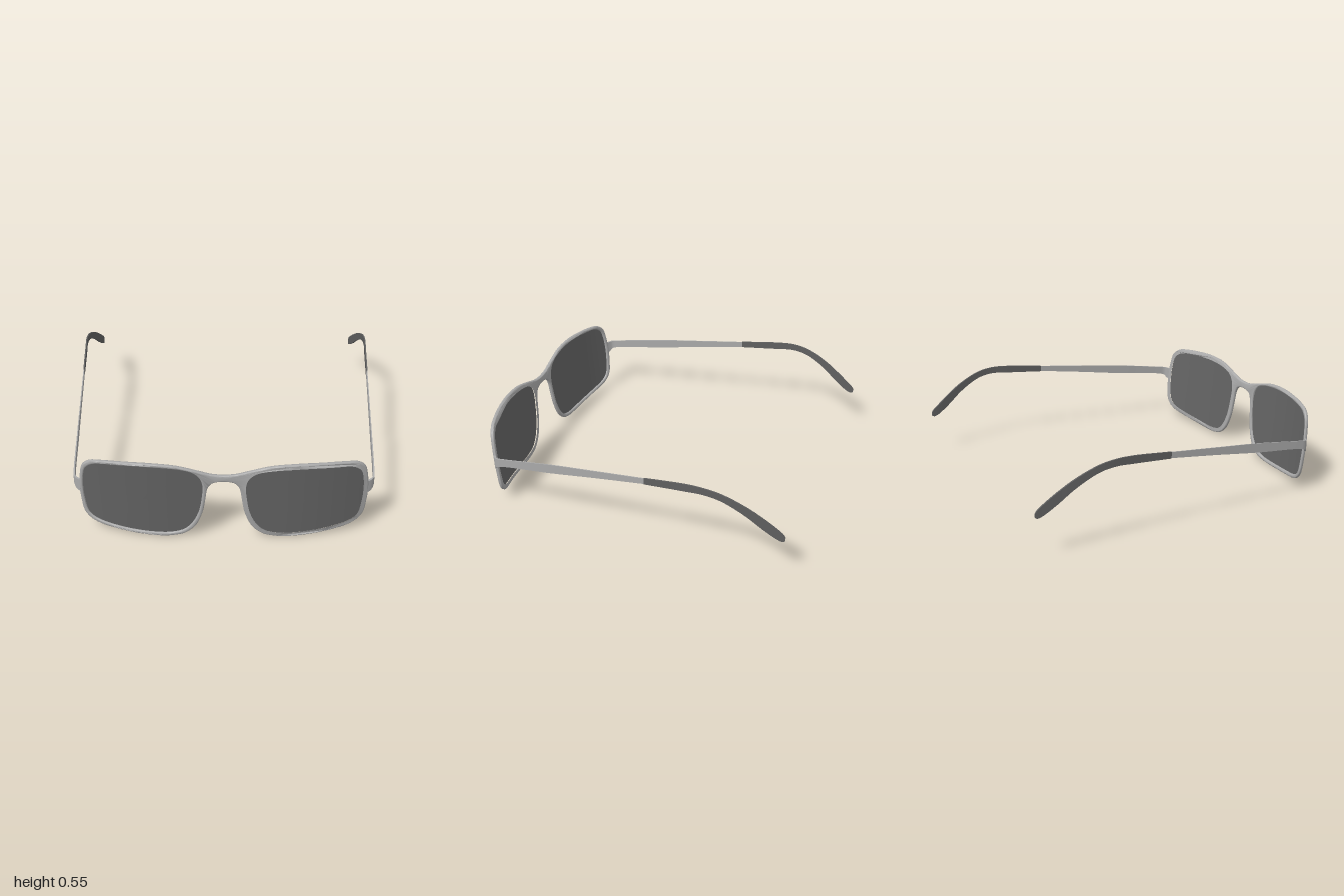
import * as THREE from 'three';
import { toCreasedNormals } from 'three/addons/utils/BufferGeometryUtils.js';

// Wrapped, slightly tilted surface on which the frame front and lenses lie
const frontZ = (x, y) =>
  1.0 - 0.35 * Math.max(0, Math.abs(x) - 0.3) ** 2 - 0.08 * (0.55 - y);

// Half of the frame outline, from bridge top round to bridge underside
const HALF_OUTLINE = [
  [0.07, 0.484], [0.15, 0.508], [0.28, 0.544], [0.42, 0.556], [0.56, 0.552], [0.70, 0.54],
  [0.77, 0.525], [0.815, 0.485], [0.835, 0.41], [0.845, 0.32], [0.842, 0.22], [0.825, 0.12],
  [0.77, 0.065], [0.61, 0.028], [0.38, 0.008], [0.29, 0.015], [0.225, 0.036], [0.165, 0.093],
  [0.122, 0.2], [0.104, 0.31], [0.092, 0.38], [0.065, 0.42],
];
const LENS_OUTLINE = [
  [0.46, 0.534], [0.62, 0.526], [0.745, 0.509], [0.797, 0.468], [0.816, 0.4], [0.823, 0.31],
  [0.818, 0.21], [0.8, 0.125], [0.755, 0.085], [0.62, 0.052], [0.40, 0.032], [0.30, 0.037],
  [0.232, 0.06], [0.183, 0.113], [0.145, 0.2], [0.126, 0.31], [0.121, 0.4], [0.14, 0.46],
  [0.185, 0.5], [0.28, 0.524],
];

const smoothLoop = (points, count) =>
  new THREE.CatmullRomCurve3(points.map(([x, y]) => new THREE.Vector3(x, y, 0)), true)
    .getPoints(count).slice(0, count).map((p) => new THREE.Vector2(p.x, p.y));

const mirrorX = (points) => points.map(([x, y]) => [-x, y]);

// Bevelled frame with two lens openings, bent onto the front surface
function frameGeometry() {
  const outline = [
    [0, 0.478], ...HALF_OUTLINE, [0, 0.433], ...mirrorX(HALF_OUTLINE).reverse(),
  ];
  const shape = new THREE.Shape(smoothLoop(outline, 220));
  for (const loop of [LENS_OUTLINE, mirrorX(LENS_OUTLINE)]) {
    shape.holes.push(new THREE.Path(smoothLoop(loop, 100)));
  }
  const bevel = 0.008;
  const geometry = new THREE.ExtrudeGeometry(shape, {
    depth: 0.008, bevelEnabled: true, bevelThickness: bevel,
    bevelSize: bevel, bevelOffset: -bevel, bevelSegments: 3,
  });
  const p = geometry.attributes.position;
  for (let i = 0; i < p.count; i++) {
    p.setZ(i, p.getZ(i) - 0.016 + frontZ(p.getX(i), p.getY(i)));
  }
  return toCreasedNormals(geometry, 0.8);
}

// Curved lens made of rings shrinking towards its centre
function lensGeometry(side) {
  const count = 100, rings = 10, cx = 0.47, cy = 0.285;
  const loop = smoothLoop(LENS_OUTLINE, count);
  const positions = [], index = [];
  for (let r = 0; r <= rings; r++) {
    const k = 1.006 * (1 - r / rings);
    for (const q of loop) {
      const x = cx + (q.x - cx) * k, y = cy + (q.y - cy) * k;
      positions.push(side * x, y, frontZ(x, y) - 0.012);
    }
  }
  for (let r = 0; r < rings; r++) {
    for (let i = 0; i < count; i++) {
      const j = (i + 1) % count;
      const a = r * count + i, b = r * count + j, c = b + count, d = a + count;
      // Keep the winding towards the front on both sides
      if (side > 0) index.push(a, d, b, b, d, c);
      else index.push(a, b, d, b, c, d);
    }
  }
  const geometry = new THREE.BufferGeometry();
  geometry.setAttribute('position', new THREE.Float32BufferAttribute(positions, 3));
  geometry.setIndex(index);
  geometry.computeVertexNormals();
  return geometry;
}

// Temple stations: x, z, top y, bottom y, half thickness
const ARM = [
  [0.838, 0.872, 0.362, 0.282, 0.006], [0.858, 0.858, 0.364, 0.286, 0.006],
  [0.875, 0.838, 0.368, 0.308, 0.005], [0.882, 0.786, 0.376, 0.324, 0.004],
  [0.902, 0.464, 0.426, 0.367, 0.003], [0.921, 0.15, 0.464, 0.417, 0.003],
  [0.94, -0.164, 0.501, 0.464, 0.003],
];
const TIP = [
  [0.94, -0.164, 0.503, 0.462, 0.004], [0.956, -0.42, 0.533, 0.485, 0.004],
  [0.964, -0.53, 0.536, 0.493, 0.004], [0.962, -0.635, 0.518, 0.475, 0.005],
  [0.948, -0.77, 0.459, 0.403, 0.006], [0.932, -0.87, 0.395, 0.325, 0.006],
  [0.92, -0.95, 0.335, 0.271, 0.006], [0.917, -0.985, 0.307, 0.258, 0.005],
  [0.916, -1.0, 0.287, 0.265, 0.004],
];

// Thin ribbon lofted through rectangular cross-sections
function ribbonGeometry(stations, side) {
  const steps = 48;
  const path = new THREE.CatmullRomCurve3(
    stations.map((s) => new THREE.Vector3(side * s[0], s[2], s[1])));
  const detail = new THREE.CatmullRomCurve3(
    stations.map((s) => new THREE.Vector3(s[3], s[4], s[1])));
  const positions = [], index = [];
  for (let i = 0; i <= steps; i++) {
    // Sample both curves by the same station parameter
    const p = path.getPoint(i / steps), d = detail.getPoint(i / steps);
    const t = path.getTangent(i / steps);
    const n = new THREE.Vector2(-t.z, t.x).normalize().multiplyScalar(d.y);
    for (const [k, y] of [[1, p.y], [-1, p.y], [-1, d.x], [1, d.x]]) {
      positions.push(p.x + k * n.x, y, p.z + k * n.y);
    }
  }
  for (let i = 0; i < steps; i++) {
    for (let j = 0; j < 4; j++) {
      const a = i * 4 + j, b = i * 4 + (j + 1) % 4, c = b + 4, d = a + 4;
      index.push(a, d, c, a, c, b);
    }
  }
  const e = steps * 4;
  index.push(0, 1, 2, 0, 2, 3, e, e + 2, e + 1, e, e + 3, e + 2);
  const geometry = new THREE.BufferGeometry();
  geometry.setAttribute('position', new THREE.Float32BufferAttribute(positions, 3));
  geometry.setIndex(index);
  return toCreasedNormals(geometry, 0.7);
}

export function createModel() {
  const metal = new THREE.MeshStandardMaterial({ color: 0xaaaaaa });
  metal.name = 'silver metal';
  const lensGrey = new THREE.MeshStandardMaterial({ color: 0x646464, side: THREE.DoubleSide });
  lensGrey.name = 'lens grey';
  const tipGrey = new THREE.MeshStandardMaterial({ color: 0x606060 });
  tipGrey.name = 'tip grey';

  const model = new THREE.Group();
  model.name = 'glasses';
  const add = (name, geometry, material) => {
    const mesh = new THREE.Mesh(geometry, material);
    mesh.name = name;
    model.add(mesh);
  };

  add('frameFront', frameGeometry(), metal);
  for (const [label, side] of [['left', 1], ['right', -1]]) {
    add(label + 'Lens', lensGeometry(side), lensGrey);
    add(label + 'TempleArm', ribbonGeometry(ARM, side), metal);
    add(label + 'TempleTip', ribbonGeometry(TIP, side), tipGrey);
  }
  return model;
}
